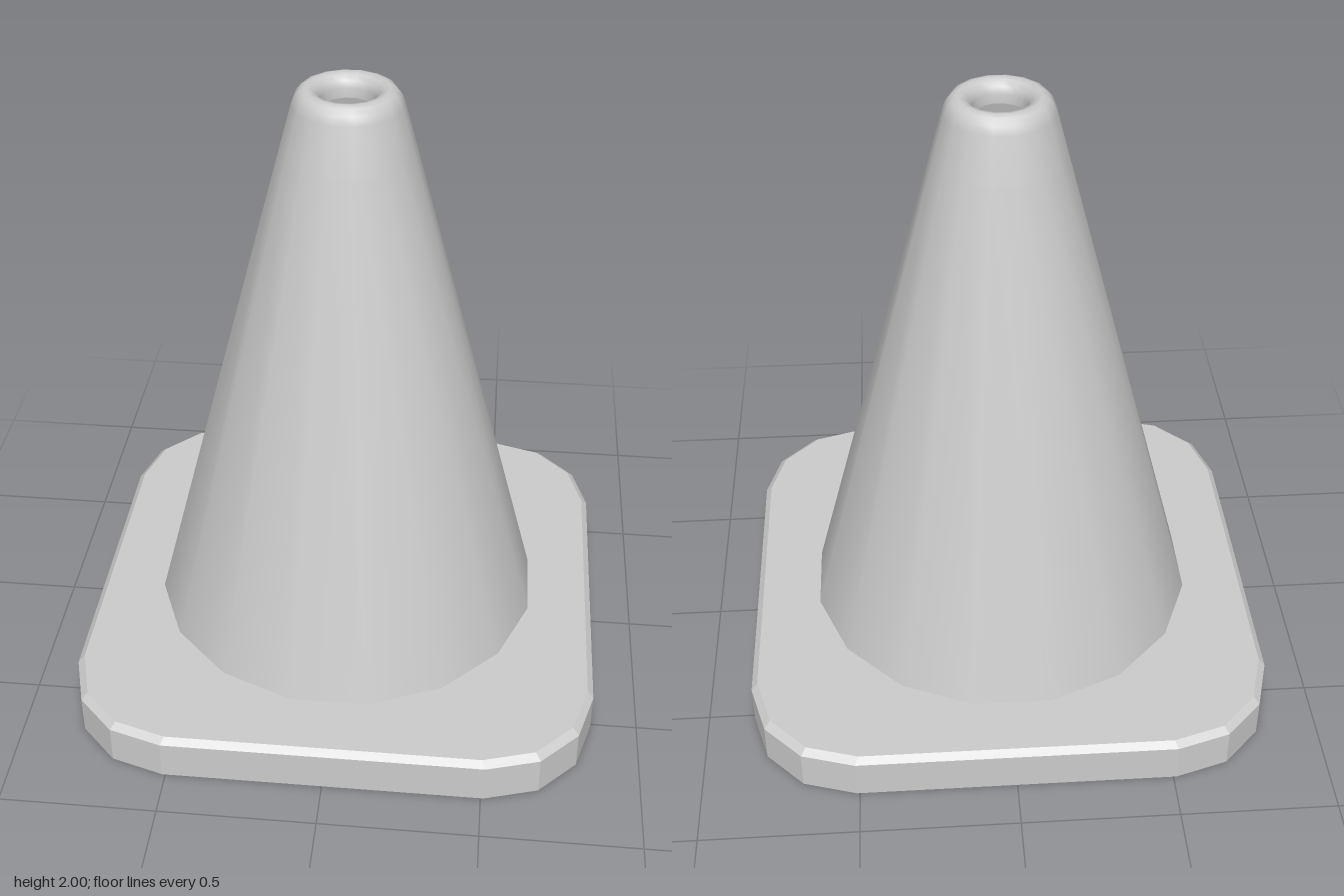
import * as THREE from 'three';

const material = new THREE.MeshStandardMaterial({ color: 0xcccccc, side: THREE.DoubleSide });
const flatMaterial = new THREE.MeshStandardMaterial({ color: 0xcccccc, side: THREE.DoubleSide, flatShading: true });

// Square outline with faceted round corners, counter-clockwise seen from above
function baseOutline() {
  const corner = [[0.85, 0.51], [0.80, 0.68], [0.68, 0.80], [0.51, 0.85]];
  const points = [];
  for (let q = 0; q < 4; q++) {
    for (const [x, y] of corner) {
      points.push(new THREE.Vector2(x, y).rotateAround(new THREE.Vector2(), q * Math.PI / 2));
    }
  }
  return points;
}

// Base: a thin shell open underneath, with a bevelled top edge
function createBase() {
  const outline = baseOutline();
  const n = outline.length;
  const rings = [[0, 1], [0.13, 1], [0.15, 0.977]]; // height, scale
  const positions = [], indices = [];
  for (const [y, s] of rings) {
    for (const p of outline) positions.push(p.x * s, y, -p.y * s);
  }
  positions.push(0, 0.15, 0);
  const centre = rings.length * n;
  for (let i = 0; i < n; i++) {
    const k = (i + 1) % n;
    for (let r = 0; r < rings.length - 1; r++) {
      const a = r * n + i, b = r * n + k;
      indices.push(a, b, b + n, a, b + n, a + n);
    }
    indices.push(centre - n + i, centre - n + k, centre);
  }
  const indexed = new THREE.BufferGeometry();
  indexed.setAttribute('position', new THREE.Float32BufferAttribute(positions, 3));
  indexed.setIndex(indices);
  const geometry = indexed.toNonIndexed();
  geometry.computeVertexNormals();
  const mesh = new THREE.Mesh(geometry, flatMaterial);
  mesh.name = 'base';
  return mesh;
}

// Cone: a hollow body poking just through the base, with a rolled lip around the top hole
function createCone() {
  const profile = [
    [0.65, 0.132], [0.209, 1.8], [0.169, 1.95], [0.158, 1.975], [0.143, 1.993], [0.125, 2],
    [0.106, 1.995], [0.09, 1.98], [0.082, 1.96], [0.081, 1.93],
  ].map(([r, y]) => new THREE.Vector2(r, y));
  const mesh = new THREE.Mesh(new THREE.LatheGeometry(profile, 16, Math.PI / 16), material);
  mesh.name = 'cone';
  mesh.position.z = -0.004;
  return mesh;
}

export function createModel() {
  const model = new THREE.Group();
  model.name = 'trafficCone';
  model.add(createBase(), createCone());
  return model;
}
